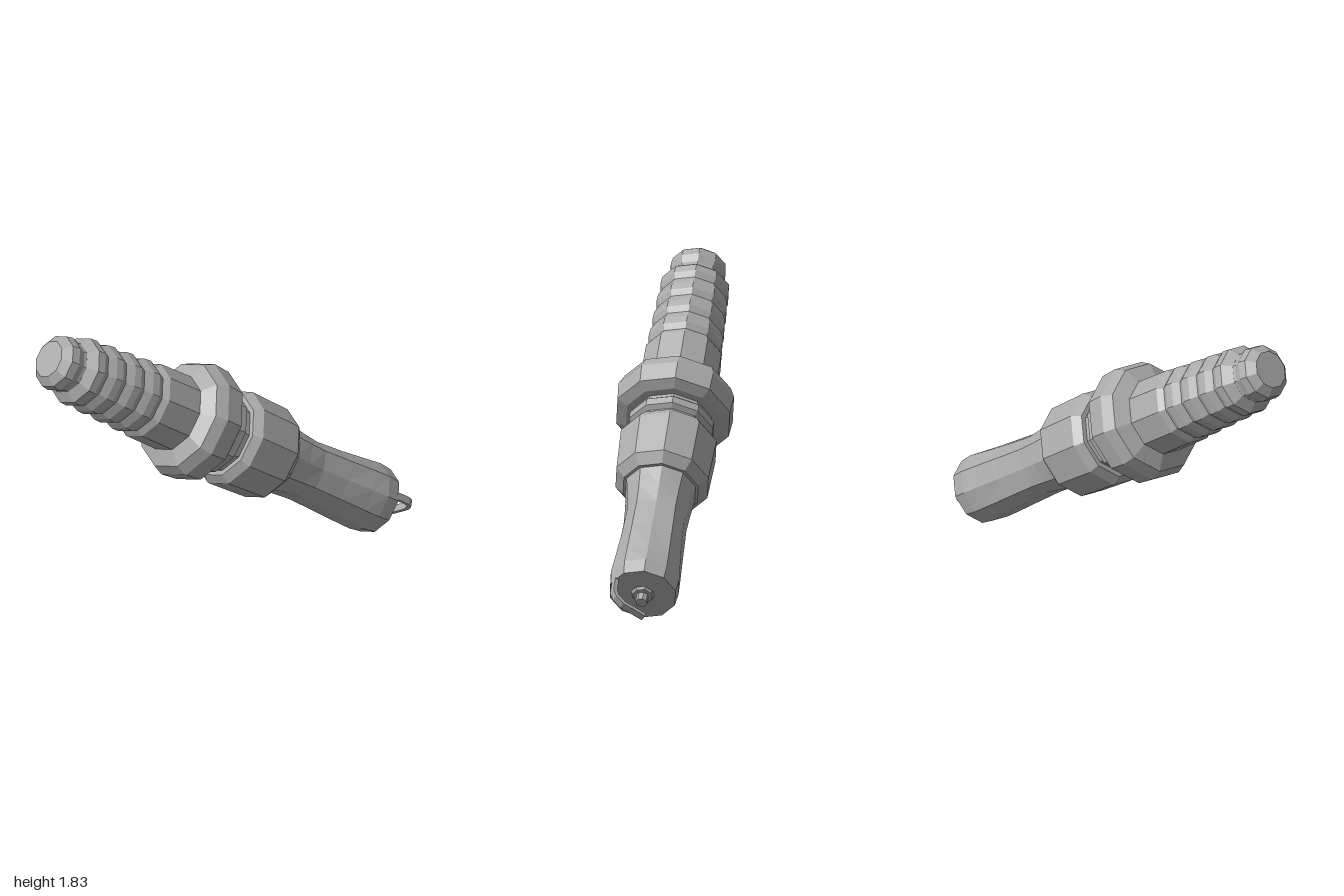
import * as THREE from 'three';

const SIDES = 10;
const PHASE = THREE.MathUtils.degToRad(27);

export function createModel() {
  const steel = new THREE.MeshStandardMaterial({ color: 0xaaaaaa });
  steel.name = 'plain grey';

  const model = new THREE.Group();
  model.name = 'sparkPlug';

  // The plug is built upright along y, then leaned over along its axis.
  const plug = new THREE.Group();
  plug.name = 'leaningPlug';
  model.add(plug);

  const add = (name, geometry) => {
    const flat = geometry.index ? geometry.toNonIndexed() : geometry;
    flat.computeVertexNormals();
    const mesh = new THREE.Mesh(flat, steel);
    mesh.name = name;
    plug.add(mesh);
    return mesh;
  };

  // Profile pairs are [radius, height], from bottom to top.
  const turned = (profile, sides = SIDES) => new THREE.LatheGeometry(
    profile.map(([r, y]) => new THREE.Vector2(r, y)), sides, PHASE);

  // Lower barrel, with every other edge pulled in at the waist
  const barrel = turned([
    [0, 0], [0.205, 0], [0.216, 0.09], [0.213, 0.2], [0.205, 0.4],
    [0.198, 0.6], [0.205, 0.72], [0.22, 0.87], [0, 0.87],
  ]);
  const pull = [1, 1, 1, 0.97, 0.93, 0.92, 0.96, 1, 1];
  const pos = barrel.attributes.position;
  for (let i = 0; i < pos.count; i++) {
    const column = Math.floor(i / pull.length);
    const k = column % 2 ? pull[i % pull.length] : 1;
    pos.setX(i, pos.getX(i) * k);
    pos.setZ(i, pos.getZ(i) * k);
  }
  add('lowerBarrel', barrel);

  // Metal shell with chamfered rims
  add('shell', turned([
    [0, 0.85], [0.235, 0.85], [0.29, 0.91], [0.302, 1.21], [0.265, 1.265], [0, 1.265],
  ]));

  // Grooved neck between shell and collar
  add('neck', turned([
    [0, 1.25], [0.235, 1.25], [0.235, 1.3], [0.265, 1.32], [0.265, 1.37],
    [0.245, 1.39], [0.245, 1.43], [0, 1.43],
  ]));

  // Wide collar
  add('collar', turned([
    [0, 1.41], [0.29, 1.41], [0.355, 1.44], [0.365, 1.56], [0.335, 1.635], [0.24, 1.68], [0, 1.68],
  ]));

  // Insulator with four ribs
  const insulator = [[0, 1.65], [0.24, 1.65], [0.238, 1.93]];
  for (let i = 0; i < 4; i++) {
    const y = 2.0 + i * 0.145;
    const r = 0.232 - i * 0.006;
    insulator.push([r - 0.018, y - 0.03], [r, y + 0.01], [r - 0.003, y + 0.06]);
  }
  insulator.push([0.16, 2.55], [0, 2.55]);
  add('ribbedInsulator', turned(insulator));

  // Rounded terminal cap
  add('terminalCap', turned([
    [0, 2.53], [0.162, 2.53], [0.157, 2.57], [0.173, 2.62], [0.165, 2.67], [0.115, 2.717], [0, 2.717],
  ]));

  // Centre electrode with its seat
  add('electrodeSeat', turned([[0, -0.015], [0.06, -0.015], [0.075, 0.005], [0, 0.005]], 8));
  add('centreElectrode', turned([[0, -0.07], [0.036, -0.07], [0.036, 0], [0, 0]], 8));

  // Ground strap hooking under the electrode
  const outer = [[0.2, 0.01], [0.2, -0.085], [0.175, -0.13], [0.12, -0.16], [-0.03, -0.178]];
  const inner = [[-0.03, -0.155], [0.11, -0.138], [0.158, -0.112], [0.176, -0.075], [0.176, 0.01]];
  const strapShape = new THREE.Shape([...outer, ...inner].map(([x, y]) => new THREE.Vector2(x, y)));
  const strap = new THREE.ExtrudeGeometry(strapShape, { depth: 0.044, bevelEnabled: false });
  strap.translate(0, 0, -0.022);
  strap.rotateY(-Math.PI / 2);
  add('groundStrap', strap);

  // Lean the plug
  const axis = new THREE.Vector3(-0.626, 0.573, 0.529).normalize();
  const across = new THREE.Vector3(0, axis.z, -axis.y).normalize();
  const outward = new THREE.Vector3().crossVectors(across, axis);
  plug.quaternion.setFromRotationMatrix(new THREE.Matrix4().makeBasis(across, axis, outward));
  plug.position.set(0.795, 0.18, -0.68);

  return model;
}
